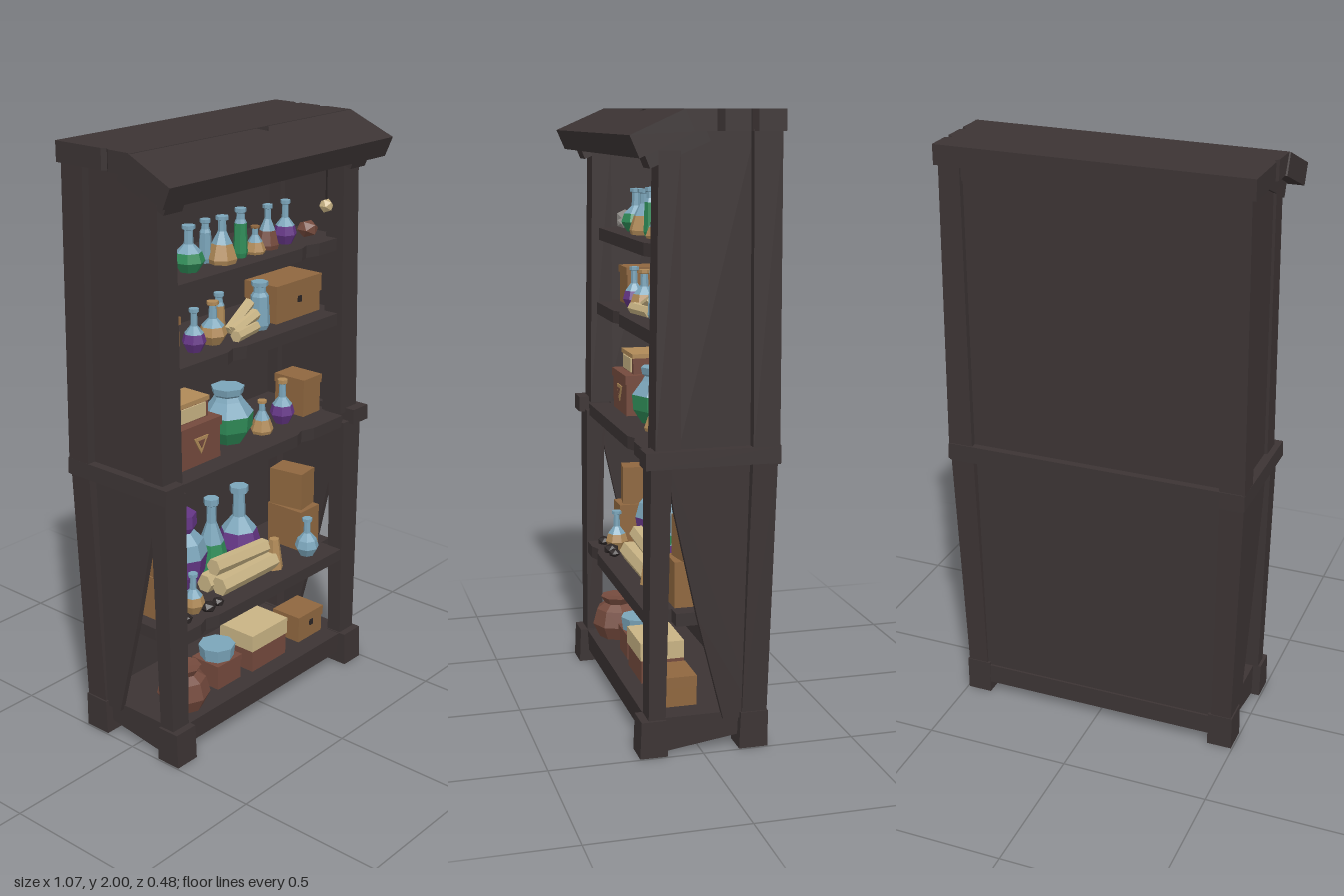
import * as THREE from 'three';

const mat = (name, color) => {
  const m = new THREE.MeshStandardMaterial({ color, flatShading: true });
  m.name = name;
  return m;
};

export function createModel() {
  const root = new THREE.Group();
  root.name = 'potionShelf';
  const wood = mat('darkWood', 0x3c3434);
  const iron = mat('darkIron', 0x2b2525);
  const glass = mat('blueGlass', 0x7ba5ba);
  const green = mat('greenPotion', 0x2f8c58);
  const purple = mat('purplePotion', 0x653686);
  const tan = mat('tanBox', 0x8f673f);
  const red = mat('redBrown', 0x744a3d);
  const paper = mat('parchment', 0xc8b384);
  const amber = mat('amber', 0xb08a58);
  const grey = mat('greyStone', 0x8d8a86);

  const add = (name, geo, m, x = 0, y = 0, z = 0, parent = root) => {
    const mesh = new THREE.Mesh(geo, m);
    mesh.name = name;
    mesh.position.set(x, y, z);
    parent.add(mesh);
    return mesh;
  };
  // box given by its ranges
  const block = (name, m, x0, x1, y0, y1, z0, z1) =>
    add(name, new THREE.BoxGeometry(x1 - x0, y1 - y0, z1 - z0), m, (x0 + x1) / 2, (y0 + y1) / 2, (z0 + z1) / 2);
  // wooden beam running from a lower rectangle to an upper one, [x0, x1, z0, z1]; side flips x
  const beam = (name, lo, hi, y0, y1, side = 1) => {
    const g = new THREE.BoxGeometry(1, 1, 1);
    const p = g.attributes.position;
    for (let i = 0; i < p.count; i++) {
      const r = p.getY(i) > 0 ? hi : lo;
      const right = p.getX(i) * side > 0;
      p.setXYZ(i, side * (right ? r[1] : r[0]), p.getY(i) > 0 ? y1 : y0, p.getZ(i) > 0 ? r[3] : r[2]);
    }
    return add(name, g, wood);
  };
  const outline = (pts) => new THREE.Shape(pts.map(([a, b]) => new THREE.Vector2(a, b)));
  // horizontal board from an outline of [x, z], its top at y = 0
  const board = (pts, t) => {
    const g = new THREE.ExtrudeGeometry(outline(pts.map(([x, z]) => [x, -z])), { depth: t, bevelEnabled: false });
    return g.rotateX(-Math.PI / 2).translate(0, -t, 0);
  };
  // upright side board from an outline of [z, y]
  const sideBoard = (name, pts, t, x) => {
    const g = new THREE.ExtrudeGeometry(outline(pts), { depth: t, bevelEnabled: false });
    add(name, g.rotateY(-Math.PI / 2).translate(t / 2, 0, 0), wood, x);
  };

  // frame, mirrored left and right
  for (const s of [1, -1]) {
    beam('frontFoot', [0.405, 0.495, 0.115, 0.205], [0.405, 0.495, 0.12, 0.2], 0, 0.12, s);
    beam('backFoot', [0.41, 0.495, -0.215, -0.12], [0.41, 0.495, -0.215, -0.125], 0, 0.12, s);
    beam('lowerFrontPost', [0.41, 0.485, 0.12, 0.175], [0.405, 0.5, 0.105, 0.17], 0.12, 0.94, s);
    beam('lowerBackPost', [0.42, 0.49, -0.212, -0.13], [0.43, 0.512, -0.23, -0.15], 0.12, 0.94, s);
    beam('upperFrontPost', [0.405, 0.495, 0.075, 0.155], [0.405, 0.485, 0.075, 0.142], 0.97, 1.88, s);
    beam('upperBackPost', [0.43, 0.515, -0.236, -0.15], [0.43, 0.502, -0.235, -0.145], 0.97, 1.94, s);
    beam('upperSidePanel', [0.455, 0.485, -0.16, 0.085], [0.455, 0.475, -0.16, 0.085], 0.96, 1.95, s);
    beam('sideBand', [0.435, 0.517, -0.24, 0.19], [0.435, 0.515, -0.24, 0.19], 0.932, 0.985, s);
    sideBoard('lowerSidePanel',
      [[-0.18, 0.1], [-0.07, 0.1], [0.016, 0.44], [0.095, 0.8], [0.115, 0.95], [-0.18, 0.95]], 0.02, s * 0.472);
    sideBoard('sideRail', [[-0.13, 0.04], [0.125, 0.005], [0.125, 0.118], [-0.13, 0.118]], 0.05, s * 0.442);
    // sloping bracket below the eave
    const bracket = add('eaveBracket', new THREE.BoxGeometry(0.08, 0.05, 0.2), wood, s * 0.445, 1.89, 0.085);
    bracket.rotation.x = 0.4;
  }
  beam('base', [-0.465, 0.465, -0.19, 0.17], [-0.465, 0.465, -0.2, 0.175], 0.04, 0.118);
  block('lowerBackPanel', wood, -0.45, 0.45, 0.04, 0.95, -0.205, -0.185);
  block('upperBackPanel', wood, -0.45, 0.45, 0.95, 1.95, -0.215, -0.195);
  block('backBand', wood, -0.512, 0.512, 0.928, 0.987, -0.24, -0.2);
  block('backTopRail', wood, -0.45, 0.45, 1.89, 1.95, -0.226, -0.2);
  block('backBottomRail', wood, -0.45, 0.45, 0.04, 0.11, -0.212, -0.19);
  block('header', wood, -0.41, 0.41, 1.86, 1.94, 0.08, 0.14);

  // shelves, each with chipped front edges
  for (const [top, front, chip] of [[0.455, 0.17, -0.3], [0.965, 0.16, 0.2], [1.33, 0.13, -0.12], [1.59, 0.12, 0.26]]) {
    add('shelf', board([[-0.46, -0.2], [0.46, -0.2], [0.46, 0.08], [0.41, 0.08], [0.41, front], [chip + 0.05, front],
      [chip, front - 0.015], [chip - 0.04, front], [-0.41, front], [-0.41, 0.08], [-0.46, 0.08]], 0.042), wood, 0, top, 0);
  }

  // roof: flat top with chipped ends, and a slanted eave
  add('roofTop', board([[-0.515, -0.242], [0.515, -0.242], [0.517, -0.155], [0.495, -0.142], [0.517, -0.13],
    [0.518, -0.05], [0.5, -0.04], [0.52, -0.025], [0.52, 0.075], [-0.52, 0.075], [-0.517, -0.02],
    [-0.505, -0.035], [-0.515, -0.05]], 0.065), wood, 0, 2, 0);
  const eave = add('roofEave', board([[-0.525, 0], [0.03, 0], [0.07, 0.028], [0.1, 0], [0.525, 0],
    [0.535, 0.186], [-0.535, 0.186]], 0.072), wood, 0, 2, 0.071);
  eave.rotation.x = 0.415;
  block('ridgeFiller', wood, -0.515, 0.515, 1.935, 1.975, 0.05, 0.12);

  // bottle profiles as [radius, height] fractions; liquid fills the first four points
  const shapes = {
    round: [[0, 0], [0.6, 0], [1, 0.22], [0.8, 0.42], [0.3, 0.6], [0.26, 0.9], [0.42, 0.92], [0.42, 1], [0, 1]],
    cone: [[0, 0], [0.9, 0], [1, 0.1], [0.68, 0.42], [0.28, 0.68], [0.26, 0.9], [0.42, 0.92], [0.42, 1], [0, 1]],
    tube: [[0, 0], [0.8, 0], [1, 0.1], [0.85, 0.7], [0.6, 0.78], [0.55, 0.9], [0.8, 0.92], [0.8, 1], [0, 1]],
    jar: [[0, 0], [0.6, 0], [0.95, 0.25], [1, 0.52], [0.6, 0.76], [0.5, 0.84], [0.6, 0.88], [0.65, 1], [0, 1]],
    urn: [[0, 0], [0.5, 0], [0.9, 0.25], [1, 0.48], [0.85, 0.66], [0.5, 0.78], [0.62, 0.85], [0.6, 1], [0, 1]],
  };
  // bottle with liquid below, glass above and a coloured stopper
  const bottle = (kind, liquid, x, y, z, r, h, cap = glass, turn = 0) => {
    const g = new THREE.Group();
    g.name = kind + 'Bottle';
    g.position.set(x, y, z);
    g.rotation.y = turn;
    const pts = shapes[kind].map(([a, b]) => new THREE.Vector2(a * r, b * h));
    const lathe = (a, b) => new THREE.LatheGeometry(pts.slice(a, b), 7);
    add('liquid', lathe(0, 4), liquid, 0, 0, 0, g);
    add('neck', lathe(3, 6), glass, 0, 0, 0, g);
    add('stopper', lathe(5, 9), cap, 0, 0, 0, g);
    root.add(g);
  };
  // box with a slightly wider lid and a clasp
  const crate = (x0, x1, y0, y1, z0, z1, body, lid, lidH, clasp = true) => {
    block('boxBody', body, x0 + 0.004, x1 - 0.004, y0, y1 - lidH, z0, z1 - 0.004);
    block('boxLid', lid, x0, x1, y1 - lidH, y1, z0, z1);
    const c = (x0 + x1) / 2;
    if (clasp) block('boxClasp', iron, c - 0.008, c + 0.008, y1 - lidH - 0.015, y1 - lidH + 0.006, z1 - 0.002, z1 + 0.004);
  };
  const scroll = (x, y, z, r, len, tilt, turn = 0) => {
    const s = add('scroll', new THREE.CylinderGeometry(r, r, len, 6), paper, x, y, z);
    s.rotation.set(0, turn, Math.PI / 2 + tilt);
  };
  const stone = (name, m, x, y, z, r, squash) =>
    add(name, new THREE.IcosahedronGeometry(r, 0), m, x, y, z).scale.y = squash;

  // top shelf
  let y = 1.59;
  stone('stone', grey, -0.372, y + 0.034, 0.03, 0.038, 0.9);
  stone('stone', grey, -0.34, y + 0.02, 0.05, 0.022, 0.9);
  bottle('round', green, -0.23, y, 0.03, 0.052, 0.145);
  bottle('tube', glass, -0.12, y, 0.0, 0.022, 0.14);
  bottle('cone', amber, -0.085, y, 0.04, 0.05, 0.15, glass, 0.4);
  bottle('tube', green, 0.003, y, 0.04, 0.024, 0.16);
  bottle('cone', amber, 0.075, y, 0.04, 0.036, 0.09, tan);
  bottle('cone', red, 0.15, y, 0.03, 0.04, 0.145, glass, 0.3);
  bottle('round', purple, 0.24, y, 0.03, 0.04, 0.145);
  stone('smallPouch', red, 0.36, y + 0.027, 0.03, 0.038, 0.8);
  stone('hangingCharm', paper, 0.382, 1.7, 0.09, 0.025, 1);
  block('charmString', iron, 0.38, 0.384, 1.71, 1.87, 0.088, 0.092);

  // fourth shelf
  y = 1.33;
  crate(-0.405, -0.29, y, y + 0.13, -0.08, 0.05, tan, tan, 0.025, false);
  bottle('round', purple, -0.22, y, 0.04, 0.04, 0.14);
  bottle('round', amber, -0.12, y, 0.03, 0.048, 0.14, amber);
  bottle('tube', amber, -0.045, y, -0.01, 0.022, 0.145);
  scroll(-0.005, y + 0.02, 0.07, 0.02, 0.13, 0, 0.2);
  scroll(0.012, y + 0.042, 0.05, 0.02, 0.12, 0.3);
  scroll(0.01, y + 0.06, 0.03, 0.018, 0.13, 0.6);
  bottle('tube', glass, 0.1, y, 0.04, 0.036, 0.16);
  crate(0.165, 0.405, y, y + 0.13, -0.08, 0.06, tan, tan, 0.06);

  // middle shelf
  y = 0.965;
  crate(-0.345, -0.145, y, y + 0.14, -0.07, 0.09, red, red, 0.03, false);
  const emblem = add('boxEmblem', new THREE.CylinderGeometry(0.038, 0.038, 0.006, 3), amber, -0.243, y + 0.075, 0.087);
  emblem.rotation.x = Math.PI / 2;
  const inset = add('emblemInset', new THREE.CylinderGeometry(0.018, 0.018, 0.006, 3), red, -0.243, y + 0.075, 0.089);
  inset.rotation.x = Math.PI / 2;
  crate(-0.325, -0.17, y + 0.14, y + 0.21, -0.05, 0.06, red, amber, 0.015, false);
  block('boxLabel', paper, -0.305, -0.19, y + 0.145, y + 0.192, 0.056, 0.061);
  bottle('jar', green, -0.025, y, 0.01, 0.088, 0.19);
  bottle('cone', amber, 0.105, y, 0.05, 0.04, 0.115, amber);
  bottle('round', purple, 0.225, y, 0.04, 0.044, 0.155, amber);
  crate(0.305, 0.405, y, y + 0.135, -0.06, 0.07, tan, tan, 0.03, false);

  // second shelf
  y = 0.455;
  for (const s of [1, -1]) {
    block('lowerBox', tan, ...(s > 0 ? [0.3, 0.405] : [-0.415, -0.32]), y, y + 0.15, -0.08, 0.07);
    const b = block('upperBox', tan, ...(s > 0 ? [0.31, 0.4] : [-0.405, -0.325]), y + 0.15, y + 0.285, -0.08, 0.05);
    b.rotation.y = 0.15 * s;
  }
  for (const [x, r] of [[-0.36, 0.025], [-0.25, 0.028], [-0.2, 0.022]]) stone('rubble', iron, x, y + 0.012, 0.12, r, 0.7);
  bottle('round', amber, -0.29, y, 0.09, 0.04, 0.14);
  bottle('urn', purple, -0.2, y, -0.05, 0.094, 0.285, purple);
  bottle('cone', green, -0.03, y, -0.06, 0.065, 0.28);
  bottle('round', purple, 0.115, y, -0.06, 0.08, 0.28);
  scroll(-0.01, y + 0.034, 0.08, 0.034, 0.28, 0);
  scroll(-0.01, y + 0.034, 0.025, 0.034, 0.31, 0);
  scroll(-0.01, y + 0.086, 0.05, 0.03, 0.27, -0.06);
  add('pouch', new THREE.CylinderGeometry(0.018, 0.034, 0.11, 6), amber, 0.14, y + 0.055, 0.08);
  bottle('round', glass, 0.3, y, 0.1, 0.044, 0.14);

  // bottom shelf
  y = 0.118;
  const sack = [[0, 0], [0.065, 0], [0.09, 0.05], [0.075, 0.105], [0.045, 0.125], [0.06, 0.15], [0, 0.145]];
  add('sack', new THREE.LatheGeometry(sack.map(([a, b]) => new THREE.Vector2(a, b)), 8), red, -0.33, y, 0.08);
  crate(-0.19, -0.065, y, y + 0.09, -0.01, 0.11, red, red, 0.02, false);
  add('glassBowl', new THREE.CylinderGeometry(0.064, 0.058, 0.046, 8), glass, -0.128, y + 0.113, 0.05);
  crate(-0.02, 0.17, y, y + 0.14, -0.03, 0.12, red, paper, 0.06, false);
  crate(0.25, 0.39, y, y + 0.1, -0.01, 0.11, tan, tan, 0.035);
  return root;
}
